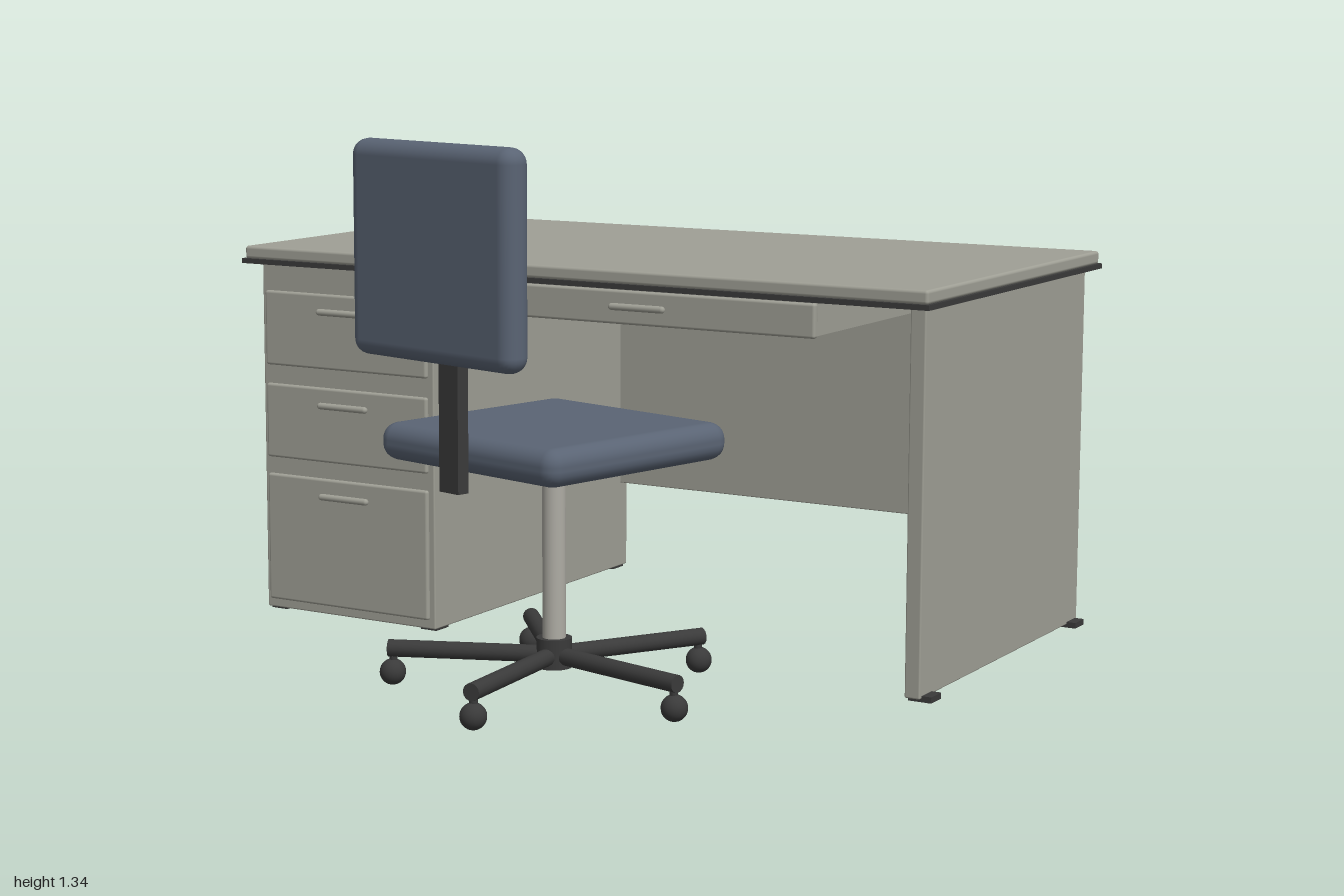
import * as THREE from 'three';
import { RoundedBoxGeometry } from 'three/addons/geometries/RoundedBoxGeometry.js';

const mat = (name, color) => {
  const m = new THREE.MeshStandardMaterial({ color });
  m.name = name;
  return m;
};

export function createModel() {
  const laminate = mat('grey laminate', 0x9f9f95);
  const dark = mat('black plastic', 0x3a3a3a);
  const fabric = mat('blue fabric', 0x5a6474);
  const metal = mat('satin metal', 0xaeaca4);

  const add = (parent, name, geometry, material, x = 0, y = 0, z = 0) => {
    const mesh = new THREE.Mesh(geometry, material);
    mesh.name = name;
    mesh.position.set(x, y, z);
    parent.add(mesh);
    return mesh;
  };
  // Box given by its limits, with optional rounded edges
  const box = (parent, name, material, [x0, x1], [y0, y1], [z0, z1], r = 0) => {
    const s = [x1 - x0, y1 - y0, z1 - z0];
    const g = r ? new RoundedBoxGeometry(...s, 3, r) : new THREE.BoxGeometry(...s);
    return add(parent, name, g, material, (x0 + x1) / 2, (y0 + y1) / 2, (z0 + z1) / 2);
  };

  const model = new THREE.Group();
  model.name = 'deskAndChair';

  // ---- Desk ----
  const desk = new THREE.Group();
  desk.name = 'desk';
  model.add(desk);
  box(desk, 'deskTop', laminate, [-0.994, 0.994], [0.956, 0.99], [-0.924, 0.134], 0.008);
  box(desk, 'deskTopTrim', dark, [-1, 1], [0.944, 0.957], [-0.93, 0.14]);
  box(desk, 'pedestal', laminate, [-0.97, -0.42], [0.006, 0.945], [-0.89, 0.09], 0.004);
  box(desk, 'sidePanel', laminate, [0.93, 0.97], [0.008, 0.945], [-0.89, 0.09], 0.004);
  box(desk, 'modestyPanel', laminate, [-0.43, 0.83], [0.25, 0.91], [-0.883, -0.853], 0.003);

  // Bar handle with two standoffs
  const handle = (x, y, z) => {
    const g = new THREE.Group();
    g.name = 'handle';
    g.position.set(x, y, z);
    const bar = add(g, 'handleBar', new THREE.CapsuleGeometry(0.009, 0.142, 4, 12), laminate);
    bar.rotation.z = Math.PI / 2;
    for (const s of [-1, 1]) {
      box(g, 'handleStandoff', laminate, [s * 0.06 - 0.006, s * 0.06 + 0.006], [-0.005, 0.005], [-0.02, 0]);
    }
    desk.add(g);
  };

  // Pedestal drawers: lower edge, upper edge, handle height
  for (const [y0, y1, h] of [[0.67, 0.87, 0.824], [0.42, 0.62, 0.574], [0.03, 0.375, 0.329]]) {
    box(desk, 'drawerFront', laminate, [-0.957, -0.437], [y0, y1], [0.08, 0.1], 0.007);
    handle(-0.697, h, 0.112);
  }

  // Shallow centre drawer
  box(desk, 'centreDrawer', laminate, [-0.28, 0.67], [0.853, 0.944], [-0.72, 0.08]);
  box(desk, 'centreDrawerFront', laminate, [-0.29, 0.68], [0.85, 0.935], [0.07, 0.09], 0.007);
  handle(0.195, 0.895, 0.101);

  // Glides at the floor
  for (const z of [0.05, -0.85]) {
    box(desk, 'sidePanelGlide', dark, [0.935, 0.995], [0, 0.015], [z - 0.028, z + 0.028]);
    for (const x of [-0.94, -0.45]) {
      box(desk, 'pedestalGlide', dark, [x - 0.025, x + 0.025], [0, 0.012], [z - 0.028, z + 0.028]);
    }
  }

  // ---- Chair, turned toward the desk ----
  const chair = new THREE.Group();
  chair.name = 'chair';
  chair.position.set(0.195, 0, 0.483);
  chair.rotation.y = -0.237;
  model.add(chair);
  box(chair, 'seat', fabric, [-0.298, 0.298], [0.575, 0.665], [-0.295, 0.295], 0.04);
  box(chair, 'backrest', fabric, [-0.27, 0.27], [0.84, 1.34], [0.322, 0.4], 0.037);
  box(chair, 'backPost', dark, [-0.032, 0.032], [0.538, 0.95], [0.303, 0.335]);
  box(chair, 'seatPlate', dark, [-0.13, 0.13], [0.546, 0.58], [-0.13, 0.13]);
  add(chair, 'column', new THREE.CylinderGeometry(0.028, 0.028, 0.44, 24), metal, 0, 0.34, 0);
  add(chair, 'hub', new THREE.CylinderGeometry(0.043, 0.043, 0.072, 20), dark, 0, 0.109, 0);

  // Five legs, each ending in a caster
  for (let i = 0; i < 5; i++) {
    const spoke = new THREE.Group();
    spoke.name = 'spoke';
    spoke.rotation.y = -i * Math.PI * 2 / 5;
    chair.add(spoke);
    const leg = add(spoke, 'leg', new THREE.CylinderGeometry(0.021, 0.021, 0.405, 16), dark, 0.2025, 0.103, 0);
    leg.rotation.z = Math.PI / 2;
    add(spoke, 'casterStem', new THREE.CylinderGeometry(0.01, 0.01, 0.05, 10), dark, 0.393, 0.075, 0);
    add(spoke, 'caster', new THREE.SphereGeometry(0.032, 20, 14), dark, 0.395, 0.045, 0);
  }

  return model;
}
